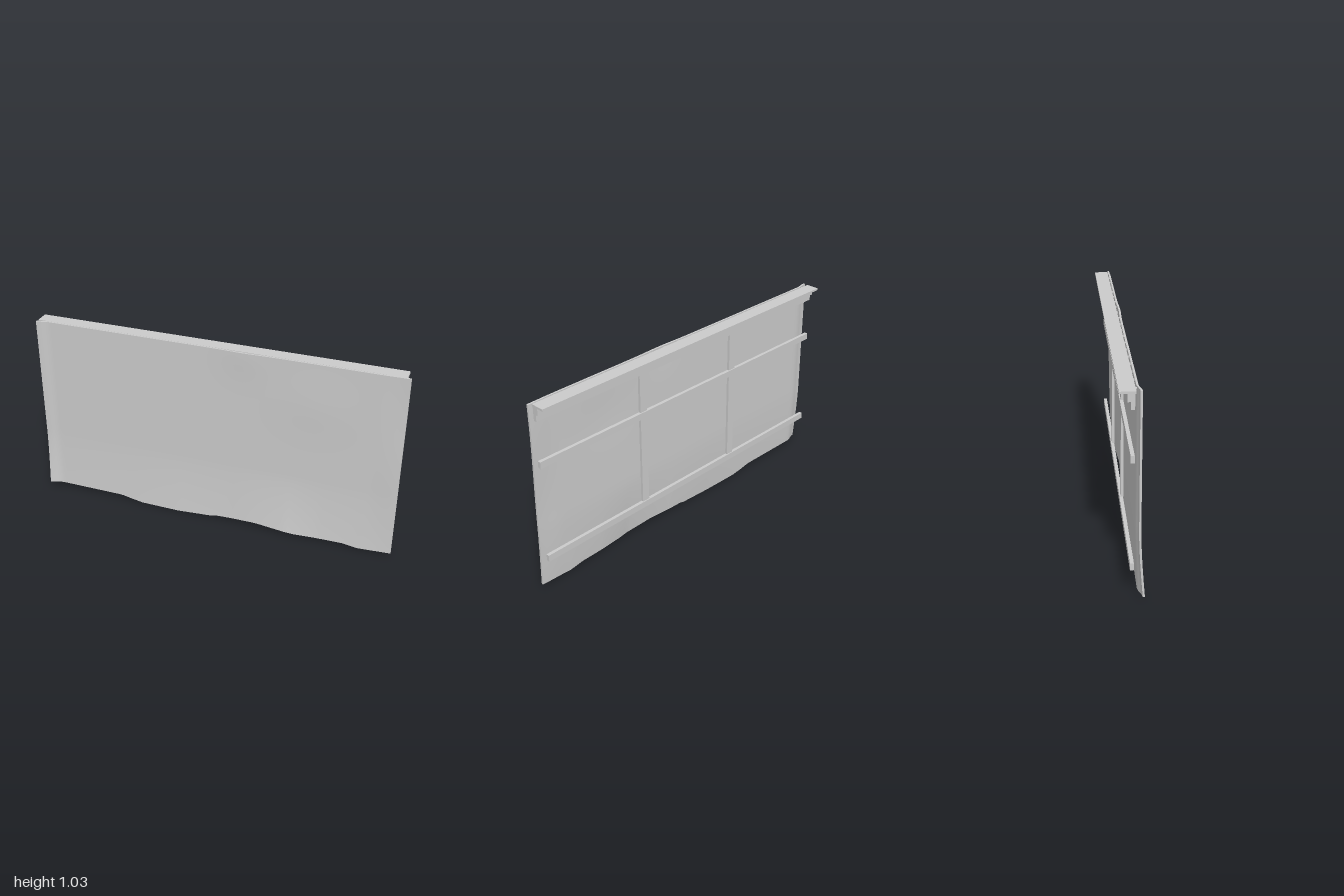
import * as THREE from 'three';

const material = new THREE.MeshStandardMaterial({ color: 0xcccccc, side: THREE.DoubleSide });

// Piecewise-linear lookup through [x, value] pairs
function lookup(points, x) {
  for (let i = 1; i < points.length; i++) {
    const [x0, a] = points[i - 1], [x1, b] = points[i];
    if (x <= x1) return a + (b - a) * Math.max(0, (x - x0) / (x1 - x0));
  }
  return points[points.length - 1][1];
}

// Ragged lower hem height and its forward flare, across the width
const hem = [[-1, 0.03], [-0.55, 0.03], [-0.48, 0.017], [-0.42, 0.008], [-0.2, 0.008], [-0.1, 0.014],
  [0, 0.02], [0.02, 0.027], [0.25, 0.036], [0.4, 0.026], [0.47, 0.02], [0.74, 0.021], [0.82, 0.01], [1, 0.02]];
const flare = [[-1, 0.022], [-0.93, 0.012], [-0.5, 0.015], [-0.2, 0.02], [0.1, 0.018],
  [0.42, 0.033], [0.6, 0.02], [0.8, 0.016], [1, 0.018]];

const bump = (d, w) => Math.exp(-((d / w) ** 2));

function clothZ(x, y) {
  const low = Math.max(0, 1 - y / 0.36);
  let z = 0.022 + lookup(flare, x) * low ** 1.5;
  z += 0.012 * THREE.MathUtils.smoothstep(-x, 0.93, 0.99);           // side edge turned forward
  z += 0.005 * THREE.MathUtils.smoothstep(x, 0.85, 1) * Math.cos((y - 0.35) * 6);
  z += 0.005 * bump(x - 0.17, 0.12) * bump(y - 1.03, 0.12);          // gathers under the top rail
  z += 0.004 * bump(x - 0.55, 0.2) * bump(y - 0.8, 0.15);
  return z;
}

// Thin closed sheet shaped by the hem and fold rules
function makeCloth() {
  const thickness = 0.01;
  const geo = new THREE.BoxGeometry(2, 1, thickness, 100, 40, 1);
  const p = geo.attributes.position;
  for (let i = 0; i < p.count; i++) {
    const x = p.getX(i), t = p.getY(i) + 0.5;
    const bottom = lookup(hem, x) - 0.008;
    const y = bottom + (1.035 - bottom) * t;
    p.setXYZ(i, x, y, clothZ(x, y) + p.getZ(i));
  }
  geo.computeVertexNormals();
  const mesh = new THREE.Mesh(geo, material);
  mesh.name = 'clothSheet';
  return mesh;
}

export function createModel() {
  const group = new THREE.Group();

  // Box given by its lower and upper limits on each axis
  const bar = (name, x0, x1, y0, y1, z0, z1) => {
    const mesh = new THREE.Mesh(new THREE.BoxGeometry(x1 - x0, y1 - y0, z1 - z0), material);
    mesh.position.set((x0 + x1) / 2, (y0 + y1) / 2, (z0 + z1) / 2);
    mesh.name = name;
    group.add(mesh);
  };

  group.add(makeCloth());

  // Horizontal rails behind the cloth
  for (const [name, y] of [['bottomRail', 0.167], ['middleRail', 0.701], ['upperRail', 0.949]]) {
    bar(name, -1, 0.98, y, y + 0.036, -0.011, 0.007);
  }

  // Stepped cornice at the top
  bar('corniceBeam', -1, 0.98, 0.985, 1.022, -0.025, 0.007);
  bar('corniceShelf', -1, 0.98, 1.022, 1.033, -0.062, 0.012);

  // Uprights, in two bays between the rails
  for (const x of [-0.34, 0.32]) {
    bar('lowerUpright', x - 0.022, x + 0.022, 0.203, 0.701, -0.005, 0.009);
    bar('upperUpright', x - 0.022, x + 0.022, 0.737, 0.949, -0.005, 0.009);
  }

  // Small tacks holding the cloth to the shelf
  for (let i = 0; i < 20; i++) {
    const x = -0.95 + i * 0.1;
    bar('tack', x - 0.006, x + 0.006, 1.024, 1.031, 0.011, 0.018);
  }
  return group;
}
